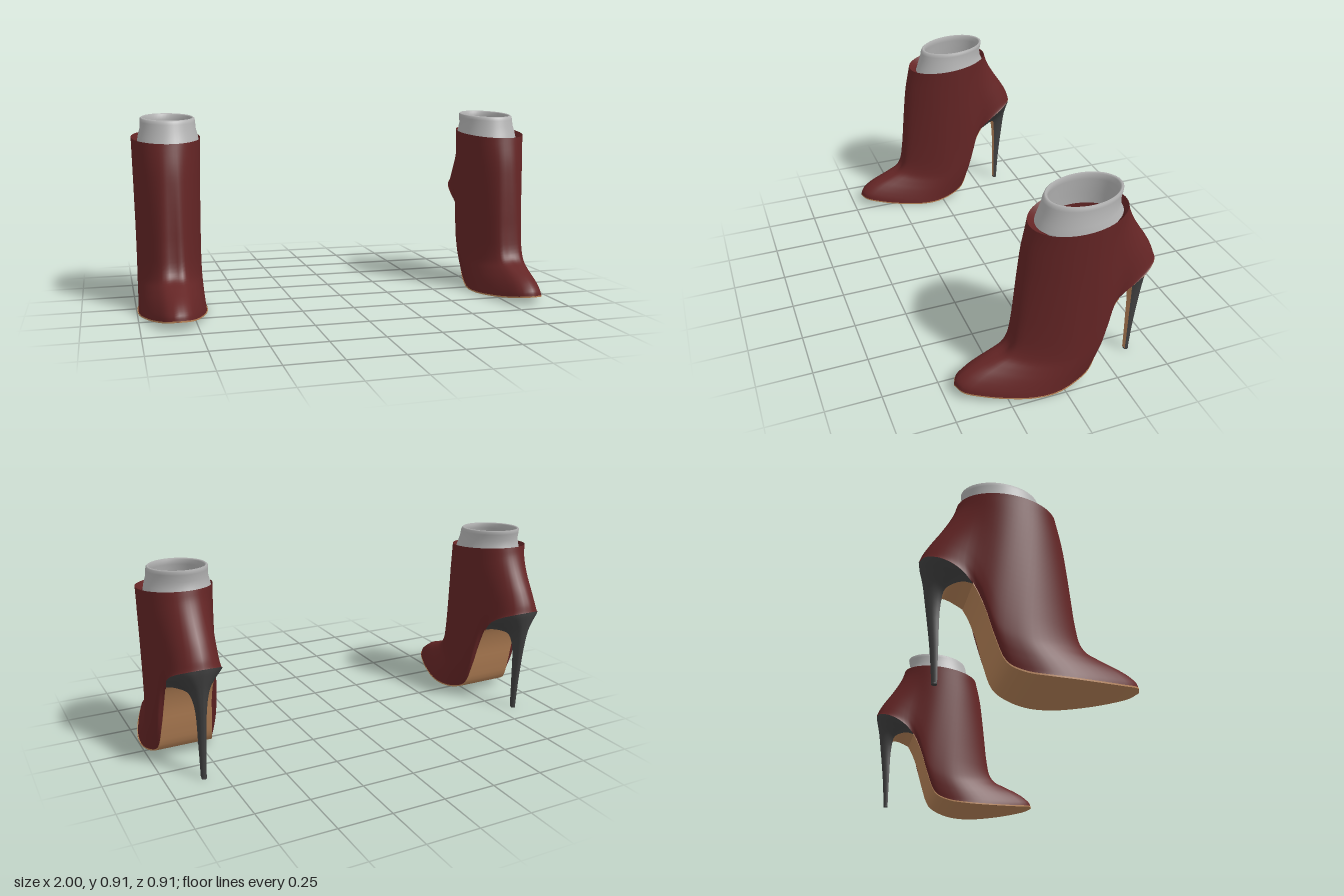
import * as THREE from 'three';

const V = (x, y, z) => new THREE.Vector3(x, y, z);
const curve = (pts) => new THREE.CatmullRomCurve3(pts.map((p) => V(...p)));
const mix = (a, b, k) => a.clone().lerp(b, k);

const mat = (name, color, side = THREE.DoubleSide) => {
  const m = new THREE.MeshStandardMaterial({ color, side });
  m.name = name;
  return m;
};
const leather = mat('burgundy leather', 0x642525);
const tan = mat('tan sole', 0xba8559);
const heelGrey = mat('charcoal heel', 0x404040);
const lining = mat('pale grey cuff', 0xb4b4b4);

// Surface from rows of points; closed joins each row into a loop
function surface(name, material, rows, cols, closed, point) {
  const pos = [], index = [], n = closed ? cols : cols + 1;
  for (let i = 0; i <= rows; i++) {
    for (let j = 0; j < n; j++) pos.push(...point(i / rows, j / cols, i).toArray());
  }
  for (let i = 0; i < rows; i++) {
    for (let j = 0; j < cols; j++) {
      const a = i * n + j, b = i * n + ((j + 1) % n);
      index.push(a, b, b + n, a, b + n, a + n);
    }
  }
  const g = new THREE.BufferGeometry();
  g.setAttribute('position', new THREE.Float32BufferAttribute(pos, 3));
  g.setIndex(index);
  g.computeVertexNormals();
  const mesh = new THREE.Mesh(g, material);
  mesh.name = name;
  return mesh;
}

// Half outline of the boot's lower edge, toe to back of heel
const lower = curve([
  [0, 0.045, 0.453], [0.05, 0.04, 0.43], [0.09, 0.026, 0.35], [0.125, 0.014, 0.25],
  [0.152, 0.006, 0.14], [0.157, 0.007, 0.04], [0.14, 0.022, -0.05], [0.125, 0.06, -0.12],
  [0.115, 0.17, -0.165], [0.107, 0.3, -0.203], [0.107, 0.4, -0.25], [0.118, 0.46, -0.31],
  [0.105, 0.502, -0.38], [0.06, 0.527, -0.435], [0, 0.535, -0.453],
]);
const HEEL_START = 10 / 14;
// Half outline of the ankle opening, front to back
const upper = (s) => {
  const a = Math.PI * s;
  return V(0.162 * Math.sin(a), 0.785 + 0.0225 * (1 - Math.cos(a)), -0.0875 + 0.2125 * Math.cos(a));
};
// Instep and back seam profiles
const front = curve([
  [0, 0.045, 0.453], [0, 0.07, 0.445], [0, 0.1, 0.41], [0, 0.125, 0.36], [0, 0.15, 0.29],
  [0, 0.175, 0.225], [0, 0.21, 0.197], [0, 0.3, 0.18], [0, 0.42, 0.17], [0, 0.55, 0.16],
  [0, 0.67, 0.148], [0, 0.785, 0.125],
]);
const back = curve([
  [0, 0.535, -0.453], [0, 0.57, -0.44], [0, 0.62, -0.412], [0, 0.68, -0.372],
  [0, 0.74, -0.336], [0, 0.79, -0.312], [0, 0.83, -0.3],
]);

// Half loop mirrored into a full loop
const mirrored = (v, half) => {
  const p = half(v <= 0.5 ? 2 * v : 2 - 2 * v);
  if (v > 0.5) p.x = -p.x;
  return p;
};

// Boot shell blended between the lower edge, opening and the two profiles
function shellPoint(t, s) {
  const k = t * t, lo = lower.getPoint(s), hi = upper(s);
  const p = mix(lo, hi, k);
  p.x = lo.x + (hi.x - lo.x) * t;
  const f = front.getPoint(t).sub(mix(lower.getPoint(0), upper(0), k));
  const b = back.getPoint(k).sub(mix(lower.getPoint(1), upper(1), k));
  return p.addScaledVector(f, (1 - s) ** 2).addScaledVector(b, s * s);
}

// Cuff rings: front y, back y, front z, back z, half width
const cuffRings = [
  [0.765, 0.8, 0.09, -0.286, 0.146], [0.8, 0.83, 0.078, -0.272, 0.14],
  [0.84, 0.86, 0.064, -0.27, 0.131], [0.868, 0.892, 0.059, -0.277, 0.13],
  [0.882, 0.908, 0.053, -0.28, 0.128], [0.888, 0.912, 0.045, -0.274, 0.122],
  [0.883, 0.906, 0.036, -0.266, 0.115], [0.86, 0.88, 0.04, -0.262, 0.116],
  [0.79, 0.81, 0.055, -0.265, 0.125], [0.74, 0.76, 0.06, -0.268, 0.128],
];
const cuffPoint = ([yf, yb, zf, zb, w], s) => {
  const a = Math.PI * s, u = (1 - Math.cos(a)) / 2;
  return V(w * Math.sin(a), yf + (yb - yf) * u, zf + (zb - zf) * u);
};

// Inner edge and rear line of the stiletto heel, top to tip
const breast = curve([
  [0.107, 0.4, -0.25], [0.095, 0.412, -0.285], [0.07, 0.413, -0.32], [0.042, 0.4, -0.35],
  [0.023, 0.34, -0.363], [0.015, 0.15, -0.367], [0.012, 0.003, -0.367],
]);
const rear = curve([
  [0, 0.535, -0.453], [0, 0.515, -0.451], [0, 0.48, -0.444], [0, 0.43, -0.434],
  [0, 0.35, -0.423], [0, 0.15, -0.399], [0, 0.003, -0.388],
]);
function heelPoint(r, q) {
  const R = breast.getPoint(r), K = rear.getPoint(r);
  const P = breast.getPoint(0), H = rear.getPoint(0);
  const bulge = lower.getPoint(HEEL_START + (1 - HEEL_START) * q).sub(mix(P, H, q));
  return mix(R, K, q).addScaledVector(bulge, R.distanceTo(K) / P.distanceTo(H));
}

function buildBoot(side) {
  const boot = new THREE.Group();
  boot.add(surface('upper', leather, 44, 64, true, (t, v) => mirrored(v, (s) => shellPoint(t, s))));

  // Folded lip between the boot opening and the cuff
  boot.add(surface('openingLip', leather, 2, 64, true, (t, v) =>
    mirrored(v, (s) => mix(upper(s), cuffPoint(cuffRings[0], s), t))));

  const cuff = surface('cuff', lining, cuffRings.length - 1, 48, true, (t, v, i) =>
    mirrored(v, (s) => cuffPoint(cuffRings[i], s)));
  cuff.position.x = -0.012 * side;
  boot.add(cuff);

  // Sole sheet, also seen as the insole, and its thin edge
  boot.add(surface('sole', tan, 56, 8, false, (s, v) => {
    const p = lower.getPoint(s);
    p.x *= (1 - 2 * v) * (s < HEEL_START ? 1.025 : 1);
    p.y -= s < HEEL_START ? 0.003 : 0;
    return p;
  }));
  for (const m of [1, -1]) {
    boot.add(surface('soleEdge', tan, 1, 44, false, (t, v) => {
      const p = lower.getPoint(v * HEEL_START);
      p.x *= m * 1.025;
      p.y += t * 0.007 - 0.003;
      return p;
    }));
  }

  // Heel body, tan front strip and tip
  boot.add(surface('heel', heelGrey, 30, 32, false, (r, v) => {
    const p = heelPoint(r, 1 - Math.abs(2 * v - 1));
    if (v < 0.5) p.x = -p.x;
    return p;
  }));
  boot.add(surface('heelFront', tan, 30, 4, false, (r, v) => {
    const p = breast.getPoint(r);
    p.x *= 1 - 2 * v;
    return p;
  }));
  const tip = new THREE.Mesh(new THREE.CylinderGeometry(0.012, 0.012, 0.006, 16), heelGrey);
  tip.name = 'heelTip';
  tip.position.set(0, 0.003, -0.377);
  boot.add(tip);

  boot.name = side > 0 ? 'leftBoot' : 'rightBoot';
  boot.position.x = side * 0.836;
  return boot;
}

export function createModel() {
  const model = new THREE.Group();
  model.name = 'ankleBoots';
  model.add(buildBoot(1), buildBoot(-1));
  return model;
}
